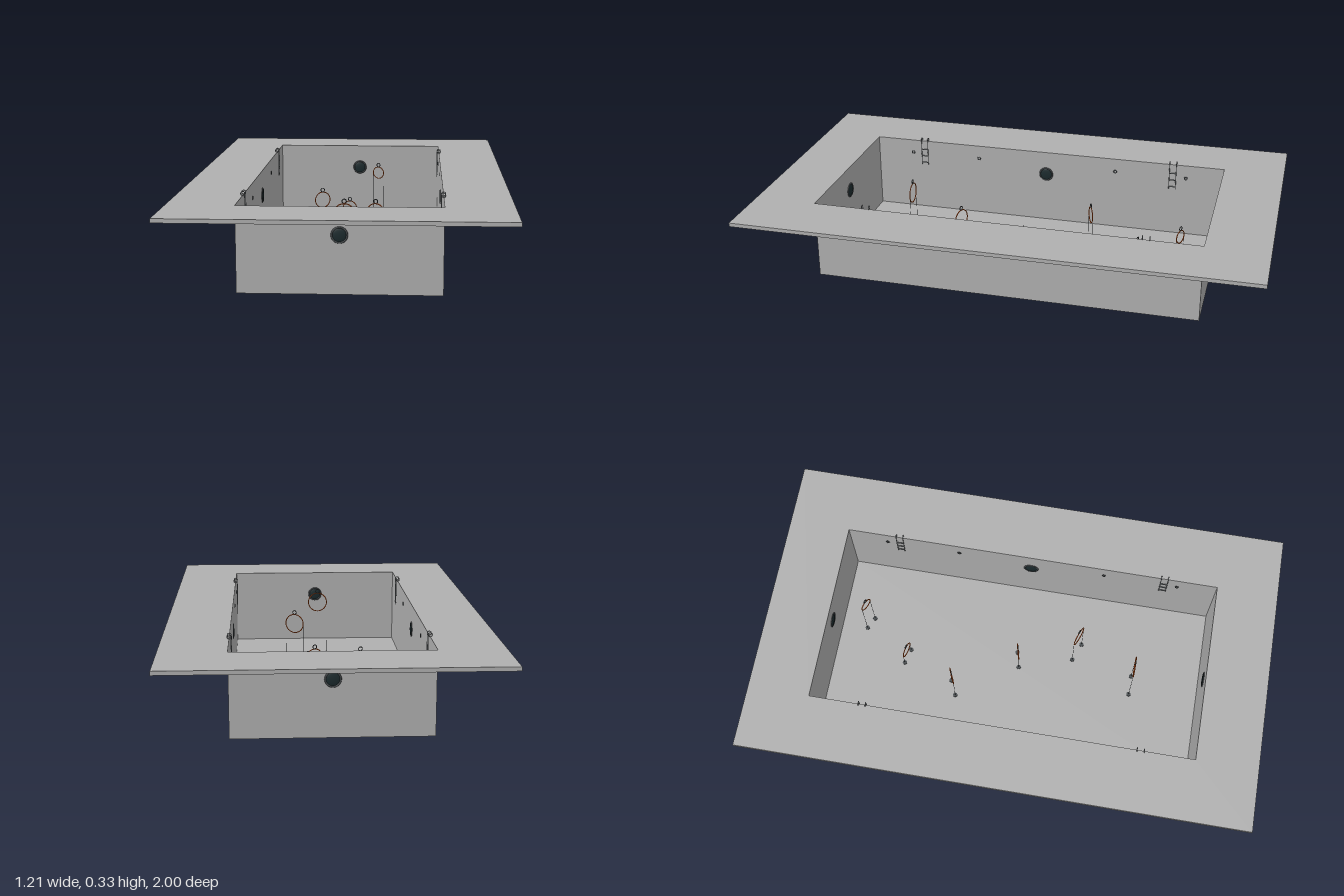
import * as THREE from 'three';

const mat = (name, color, side = THREE.FrontSide) => {
  const m = new THREE.MeshStandardMaterial({ color, side });
  m.name = name;
  return m;
};

export function createModel() {
  const concrete = mat('concrete grey', 0xb0b0b0, THREE.DoubleSide);
  const steel = mat('steel grey', 0x8a8f92);
  const rim = mat('rim grey', 0x4a4f52);
  const glass = mat('dark glass', 0x1c2b2e);
  const orange = mat('hoop orange', 0xe8641b);

  const pool = new THREE.Group();
  pool.name = 'pool';
  const add = (parent, name, geo, material, x = 0, y = 0, z = 0) => {
    const m = new THREE.Mesh(geo, material);
    m.name = name;
    m.position.set(x, y, z);
    parent.add(m);
    return m;
  };

  const W = 0.362, L = 0.757, DECK = 0.297, T = 0.015;

  // Deck with rectangular opening
  const rect = (P, x, z) => new P([[-x, -z], [x, -z], [x, z], [-x, z]].map(p => new THREE.Vector2(...p)));
  const shape = rect(THREE.Shape, 0.605, 1);
  shape.holes.push(rect(THREE.Path, W, L));
  const deckGeo = new THREE.ExtrudeGeometry(shape, { depth: T, bevelEnabled: false });
  deckGeo.rotateX(-Math.PI / 2);
  add(pool, 'deck', deckGeo, concrete, 0, DECK, 0);

  // Thin basin shell
  add(pool, 'floor', new THREE.PlaneGeometry(2 * W, 2 * L).rotateX(-Math.PI / 2), concrete);
  for (const s of [-1, 1]) {
    add(pool, 'endWall', new THREE.PlaneGeometry(2 * W, DECK), concrete, 0, DECK / 2, s * L)
      .rotation.y = s > 0 ? 0 : Math.PI;
    add(pool, 'sideWall', new THREE.PlaneGeometry(2 * L, DECK), concrete, s * W, DECK / 2, 0)
      .rotation.y = s * Math.PI / 2;
  }

  // Round underwater lights, one through each wall
  for (let i = 0; i < 4; i++) {
    const light = new THREE.Group();
    light.name = 'wallLight';
    const a = i * Math.PI / 2;
    const d = i % 2 ? W : L;
    light.position.set(Math.sin(a) * d, 0.212, Math.cos(a) * d);
    light.rotation.y = a;
    add(light, 'lightRim', new THREE.TorusGeometry(0.027, 0.0035, 8, 32), rim);
    add(light, 'lightLens', new THREE.SphereGeometry(0.026, 24, 12), glass).scale.z = 0.18;
    pool.add(light);
  }

  for (const s of [-1, 1]) {
    // Small water jets along the side walls
    for (const z of [-0.6, -0.3, 0.3, 0.6]) {
      const jet = add(pool, 'jet', new THREE.TorusGeometry(0.006, 0.002, 6, 16), rim, s * (W - 0.001), 0.255, z);
      jet.rotation.y = Math.PI / 2;
    }
    // Ladders with looped handles
    for (const z of [-0.545, 0.545]) {
      const ladder = new THREE.Group();
      ladder.name = 'ladder';
      ladder.position.set(s * W, 0, z);
      for (const dz of [-0.014, 0.014]) {
        add(ladder, 'rail', new THREE.CylinderGeometry(0.0015, 0.0015, 0.115, 8), steel, -s * 0.007, 0.2625, dz);
        add(ladder, 'handle', new THREE.TorusGeometry(0.0075, 0.0015, 6, 20), steel, 0, 0.319, dz);
      }
      for (const y of [0.215, 0.245, 0.275])
        add(ladder, 'rung', new THREE.BoxGeometry(0.004, 0.003, 0.028), steel, -s * 0.007, y, 0);
      pool.add(ladder);
    }
  }

  // Dive hoops: x, height, z, radius, turn
  const hoops = [
    [0.09, 0.205, -0.64, 0.026, -0.45],
    [-0.03, 0.075, -0.457, 0.031, -0.25],
    [-0.135, 0.15, -0.243, 0.033, 0.42],
    [0.032, 0.1, 0.002, 0.033, 0.25],
    [0.108, 0.187, 0.24, 0.039, -0.37],
    [0, 0.23, 0.48, 0.04, 0],
  ];
  for (const [x, y, z, r, turn] of hoops) {
    const hoop = new THREE.Group();
    hoop.name = 'diveHoop';
    hoop.position.set(x, 0, z);
    hoop.rotation.y = turn;
    add(hoop, 'ring', new THREE.TorusGeometry(r, 0.002, 8, 40), orange, 0, y, 0);
    add(hoop, 'topLoop', new THREE.TorusGeometry(0.008, 0.0018, 6, 20), rim, 0, y + r + 0.009, 0);
    for (const s of [-1, 1]) {
      add(hoop, 'tether', new THREE.CylinderGeometry(0.0008, 0.0008, y, 6), rim, s * r, y / 2, 0);
      add(hoop, 'weight', new THREE.CylinderGeometry(0.009, 0.009, 0.004, 16), rim, s * r, 0.002, 0);
    }
    pool.add(hoop);
  }
  return pool;
}
